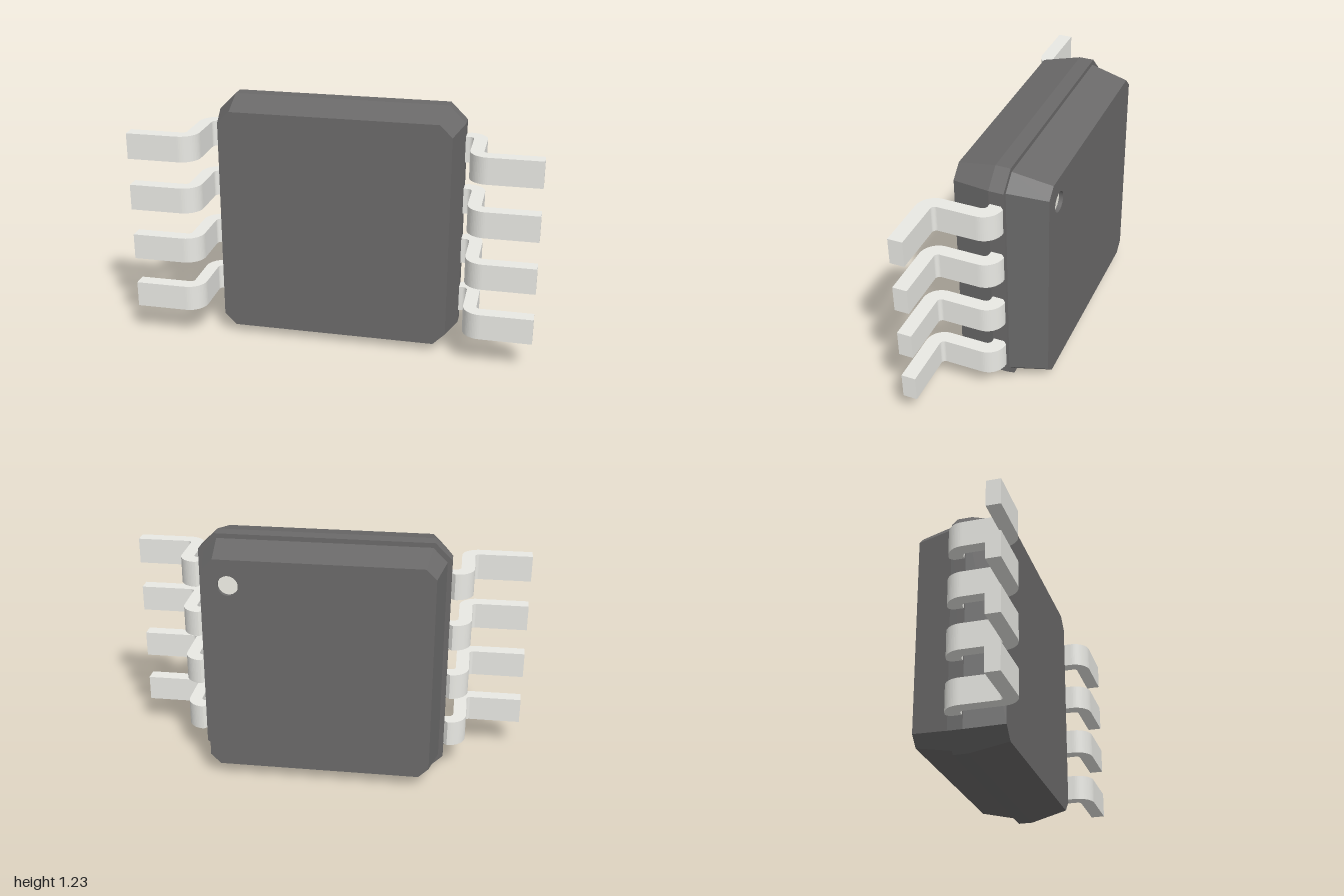
import * as THREE from 'three';

const CY = 0.613; // height of the body centre
const DOT = { x: 0.43, y: 0.42, r: 0.05, depth: 0.02 };

const plastic = new THREE.MeshStandardMaterial({ color: 0x6b6a6a, flatShading: true });
const metal = new THREE.MeshStandardMaterial({ color: 0xe9e9e4 });
const paint = new THREE.MeshStandardMaterial({ color: 0xf2f1e8 });

// Square of half size h with corners cut by c, counter-clockwise
function octagon(h, c) {
  const k = h - c;
  return [[h, -k], [h, k], [k, h], [-k, h], [-h, k], [-h, -k], [-k, -h], [k, -h]]
    .map(([x, y]) => new THREE.Vector2(x, y));
}

// Side walls through rings [halfSize, cut, z], listed from front to back
function walls(rings) {
  const pos = [];
  const pts = rings.map(([h, c, z]) => octagon(h, c).map((p) => [p.x, p.y, z]));
  for (let i = 0; i < pts.length - 1; i++) {
    for (let k = 0; k < 8; k++) {
      const n = (k + 1) % 8;
      const a = pts[i][k], b = pts[i][n], c = pts[i + 1][k], d = pts[i + 1][n];
      pos.push(...a, ...c, ...b, ...b, ...c, ...d);
    }
  }
  const g = new THREE.BufferGeometry();
  g.setAttribute('position', new THREE.Float32BufferAttribute(pos, 3));
  g.computeVertexNormals();
  return g;
}

// Flat octagonal end; the back one faces -z and may carry a round hole
function cap([h, c, z], back, hole) {
  const shape = new THREE.Shape(octagon(h, c));
  if (hole) shape.holes.push(new THREE.Path().absarc(-hole.x, hole.y, hole.r, 0, Math.PI * 2, true));
  const g = new THREE.ShapeGeometry(shape, 16);
  if (back) g.rotateY(Math.PI);
  return g.translate(0, 0, z);
}

function bodyHalf(name, rings, hole) {
  const half = new THREE.Group();
  half.name = name;
  const last = rings[rings.length - 1];
  half.add(
    new THREE.Mesh(walls(rings), plastic),
    new THREE.Mesh(cap(rings[0], false), plastic),
    new THREE.Mesh(cap(last, true, hole), plastic),
  );
  return half;
}

// Gull-wing profile in x and z, extruded along y
function leadGeometry(width) {
  const HALF = Math.PI / 2;
  const s = new THREE.Shape();
  s.moveTo(0.56, -0.09);
  s.absarc(0.63, 0.0, 0.09, -HALF, 0, false);
  s.absarc(0.74, 0.185, 0.02, Math.PI, HALF, true);
  s.lineTo(1, 0.205);
  s.lineTo(1, 0.275);
  s.absarc(0.745, 0.185, 0.09, HALF, Math.PI, false);
  s.absarc(0.63, 0.005, 0.025, 0, -HALF, true);
  s.lineTo(0.56, -0.02);
  s.closePath();
  const g = new THREE.ExtrudeGeometry(s, { depth: width, bevelEnabled: false, curveSegments: 8 });
  return g.translate(0, 0, -width / 2).rotateX(Math.PI / 2);
}

export function createModel() {
  const model = new THREE.Group();
  model.name = 'chipPackage';

  // Moulded body: wider front half, slightly smaller back half
  const body = new THREE.Group();
  body.name = 'body';
  body.position.y = CY;
  body.add(
    bodyHalf('frontHalf', [[0.57, 0.06, 0.172], [0.613, 0.083, -0.015], [0.613, 0.083, -0.087]]),
    bodyHalf('backHalf', [[0.59, 0.07, -0.086], [0.55, 0.05, -0.275]], DOT),
  );
  model.add(body);

  // Round recessed marker in the back face
  const marker = new THREE.Group();
  marker.name = 'pinMarker';
  marker.position.set(DOT.x, CY + DOT.y, -0.275);
  const floor = new THREE.Mesh(new THREE.CircleGeometry(DOT.r, 32).rotateY(Math.PI), paint);
  floor.position.z = DOT.depth;
  const rim = new THREE.Mesh(
    new THREE.CylinderGeometry(DOT.r, DOT.r, DOT.depth, 32, 1, true).rotateX(Math.PI / 2),
    new THREE.MeshStandardMaterial({ color: 0x6b6a6a, side: THREE.DoubleSide }),
  );
  rim.position.z = DOT.depth / 2;
  marker.add(floor, rim);
  model.add(marker);

  // Four leads on each side; half a turn about z mirrors the profile
  const lead = leadGeometry(0.13);
  for (const side of [1, -1]) {
    for (let i = 0; i < 4; i++) {
      const m = new THREE.Mesh(lead, metal);
      m.name = (side > 0 ? 'leftLead' : 'rightLead') + (i + 1);
      m.position.y = CY + (i - 1.5) * 0.265;
      if (side < 0) m.rotation.z = Math.PI;
      model.add(m);
    }
  }
  return model;
}
